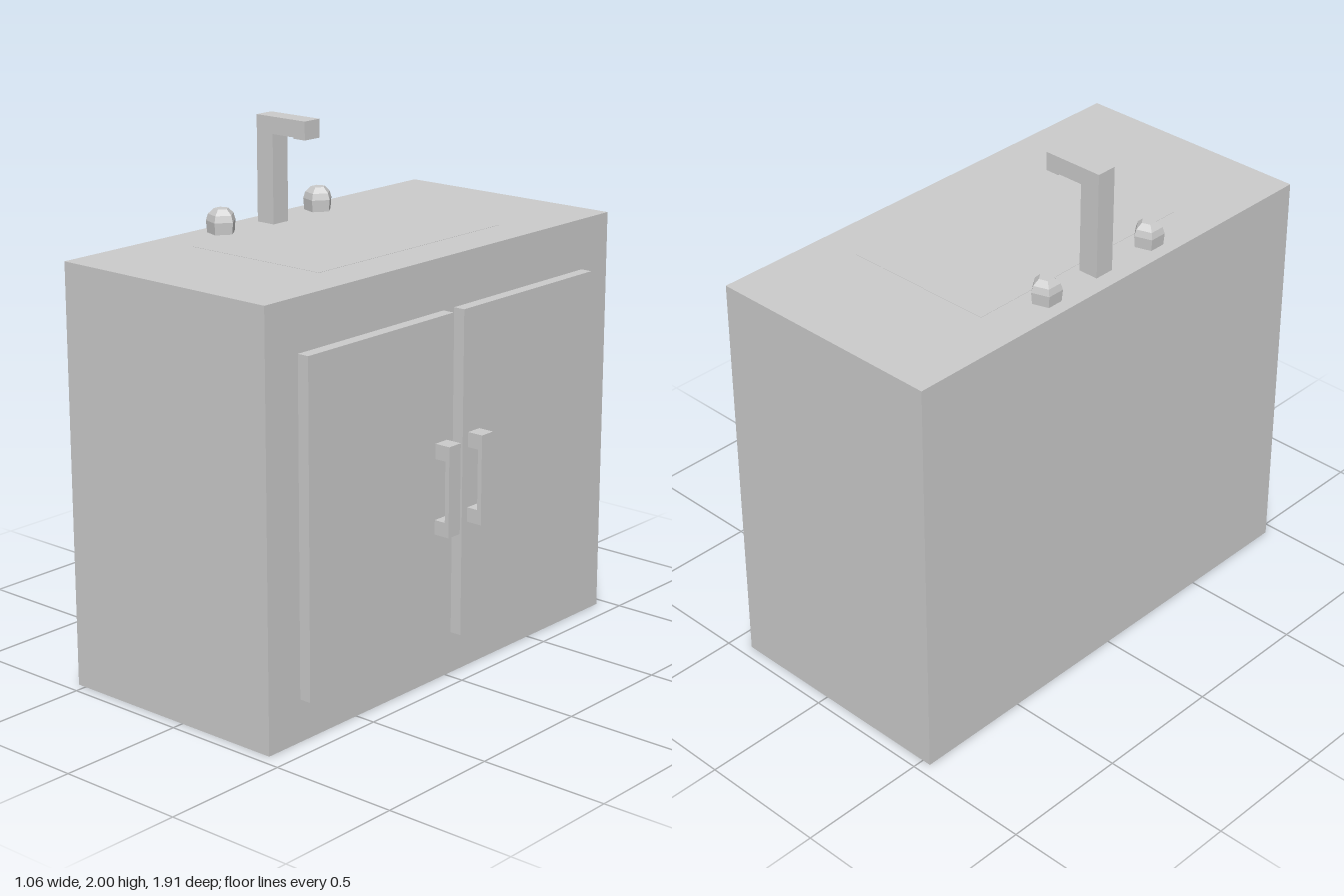
import * as THREE from 'three';

const material = new THREE.MeshStandardMaterial({ color: 0xcccccc, flatShading: true });

// Box given by its minimum and maximum corners
function box(name, [x0, y0, z0], [x1, y1, z1]) {
  const geometry = new THREE.BoxGeometry(x1 - x0, y1 - y0, z1 - z0);
  geometry.translate((x0 + x1) / 2, (y0 + y1) / 2, (z0 + z1) / 2);
  const mesh = new THREE.Mesh(geometry, material);
  mesh.name = name;
  return mesh;
}

// Extruded outline in the xy plane, centred on z
function slab(name, outline, z, depth) {
  const shape = new THREE.Shape(outline.map(([x, y]) => new THREE.Vector2(x, y)));
  const geometry = new THREE.ExtrudeGeometry(shape, { depth, bevelEnabled: false });
  geometry.translate(0, 0, z - depth / 2);
  const mesh = new THREE.Mesh(geometry, material);
  mesh.name = name;
  return mesh;
}

export function createModel() {
  const model = new THREE.Group();
  model.name = 'sinkCabinet';
  const top = 1.595;

  // Cabinet body and flush basin panel
  model.add(box('cabinet', [-0.535, 0, -0.955], [0.42, top, 0.955]));
  model.add(box('basinPanel', [-0.36, top - 0.02, -0.5], [0.25, top + 0.001, 0.5]));

  // Square faucet with a short downturned lip
  model.add(slab('faucet', [
    [-0.47, top], [-0.39, top], [-0.39, 1.935], [-0.285, 1.935],
    [-0.285, 1.93], [-0.23, 1.93], [-0.23, 2], [-0.47, 2],
  ], 0, 0.08));

  // Five-sided knob profile
  const knobProfile = [[0, 0], [0.054, 0], [0.058, 0.045], [0.05, 0.07], [0.028, 0.091], [0, 0.091]]
    .map(([r, y]) => new THREE.Vector2(r, y));

  for (const [side, s] of [['left', 1], ['right', -1]]) {
    // Cabinet door
    const z = [s * 0.03, s * 0.795].sort((a, b) => a - b);
    model.add(box(side + 'Door', [0.42, 0.16, z[0]], [0.466, 1.4, z[1]]));

    // Bracket handle on the door
    model.add(slab(side + 'Handle', [
      [0.466, 0.595], [0.53, 0.595], [0.53, 0.937], [0.466, 0.937],
      [0.466, 0.88], [0.512, 0.88], [0.512, 0.65], [0.466, 0.65],
    ], s * 0.093, 0.064));

    // Tap knob
    const knob = new THREE.Mesh(new THREE.LatheGeometry(knobProfile, 5, Math.PI / 2), material);
    knob.name = side + 'Knob';
    knob.position.set(-0.44, top, s * 0.265);
    model.add(knob);
  }
  return model;
}
